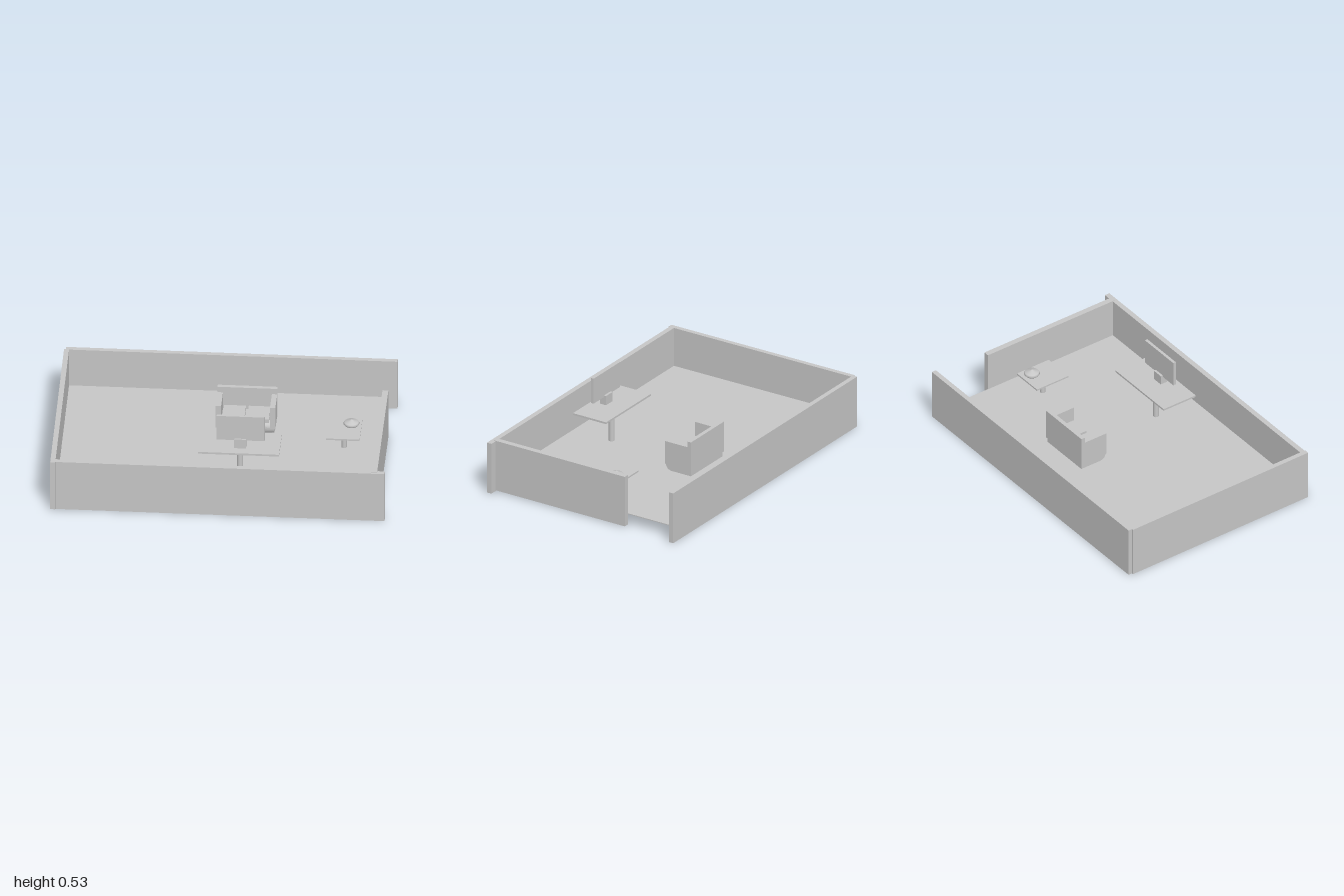
import * as THREE from 'three';

export function createModel() {
  const model = new THREE.Group();
  const grey = new THREE.MeshStandardMaterial({ color: 0xc6c6c6, side: THREE.DoubleSide });
  grey.name = 'light grey';

  function add(name, geometry, parent = model) {
    const mesh = new THREE.Mesh(geometry, grey);
    mesh.name = name;
    parent.add(mesh);
    return mesh;
  }

  // Box given by its extents on each axis
  function box(name, [x0, x1], [y0, y1], [z0, z1], parent) {
    const mesh = add(name, new THREE.BoxGeometry(x1 - x0, y1 - y0, z1 - z0), parent);
    mesh.position.set((x0 + x1) / 2, (y0 + y1) / 2, (z0 + z1) / 2);
    return mesh;
  }

  function post(name, x, z, radius, y0, y1, parent) {
    const mesh = add(name, new THREE.CylinderGeometry(radius, radius, y1 - y0, 16), parent);
    mesh.position.set(x, (y0 + y1) / 2, z);
  }

  function group(name) {
    const g = new THREE.Group();
    g.name = name;
    model.add(g);
    return g;
  }

  // Room: raised floor and four walls, with a doorway at the back of the +x side
  const floorY = 0.078;
  box('floor', [-0.965, 0.922], [floorY - 0.005, floorY], [-0.637, 0.625]);
  box('frontWall', [-0.97, 1], [0, 0.325], [0.62, 0.652]);
  box('backWall', [-0.985, 0.985], [0, 0.325], [-0.662, -0.632]);
  box('leftWall', [0.92, 0.955], [0.005, 0.328], [-0.298, 0.635]);
  const sideWall = box('rightWall', [-0.99, -0.96], [0, 0.325], [-0.637, 0.657]);
  sideWall.rotation.y = 0.008;

  // Desk with a screen on a small stand
  const desk = group('desk');
  box('deskTop', [-0.12, 0.36], [0.306, 0.318], [0.23, 0.465], desk);
  post('deskStem', 0.12, 0.35, 0.018, 0.068, 0.306, desk);
  box('screenStand', [0.09, 0.16], [0.318, 0.378], [0.363, 0.407], desk);
  box('screen', [-0.015, 0.27], [0.367, 0.53], [0.378, 0.396], desk);

  // Side table with a low, domed ornament
  const table = group('sideTable');
  box('tableTop', [0.61, 0.81], [0.192, 0.202], [-0.165, 0.068], table);
  post('tableStem', 0.71, -0.05, 0.016, 0.068, 0.192, table);
  const profile = [[0, 0.202], [0.04, 0.202], [0.048, 0.212], [0.042, 0.222], [0.02, 0.228], [0, 0.24]];
  const ornament = add('ornament',
    new THREE.LatheGeometry(profile.map(p => new THREE.Vector2(...p)), 20), table);
  ornament.position.set(0.75, 0, -0.1);

  // Two-seat sofa facing the desk
  const sofa = group('sofa');
  box('sofaBack', [-0.06, 0.295], [0.11, 0.305], [-0.33, -0.305], sofa);
  box('sofaFoot', [0.05, 0.19], [0.068, 0.09], [-0.25, -0.23], sofa);

  // Seat base with a rounded front edge, extruded along x
  const side = new THREE.Shape();
  side.moveTo(0.325, 0.08);
  side.lineTo(0.185, 0.08);
  side.quadraticCurveTo(0.145, 0.085, 0.147, 0.13);
  side.quadraticCurveTo(0.15, 0.155, 0.185, 0.16);
  side.lineTo(0.325, 0.16);
  const base = add('sofaBase',
    new THREE.ExtrudeGeometry(side, { depth: 0.34, bevelEnabled: false, curveSegments: 8 }), sofa);
  base.rotation.y = Math.PI / 2;
  base.position.x = -0.053;

  for (const s of [-1, 1]) {
    const arm = 0.1175 + s * 0.161, seat = 0.1175 + s * 0.073;
    box('sofaArm', [arm - 0.016, arm + 0.016], [0.12, 0.268], [-0.306, -0.147], sofa);
    box('sofaCushion', [seat - 0.065, seat + 0.065], [0.158, 0.182], [-0.305, -0.155], sofa);
  }

  return model;
}
